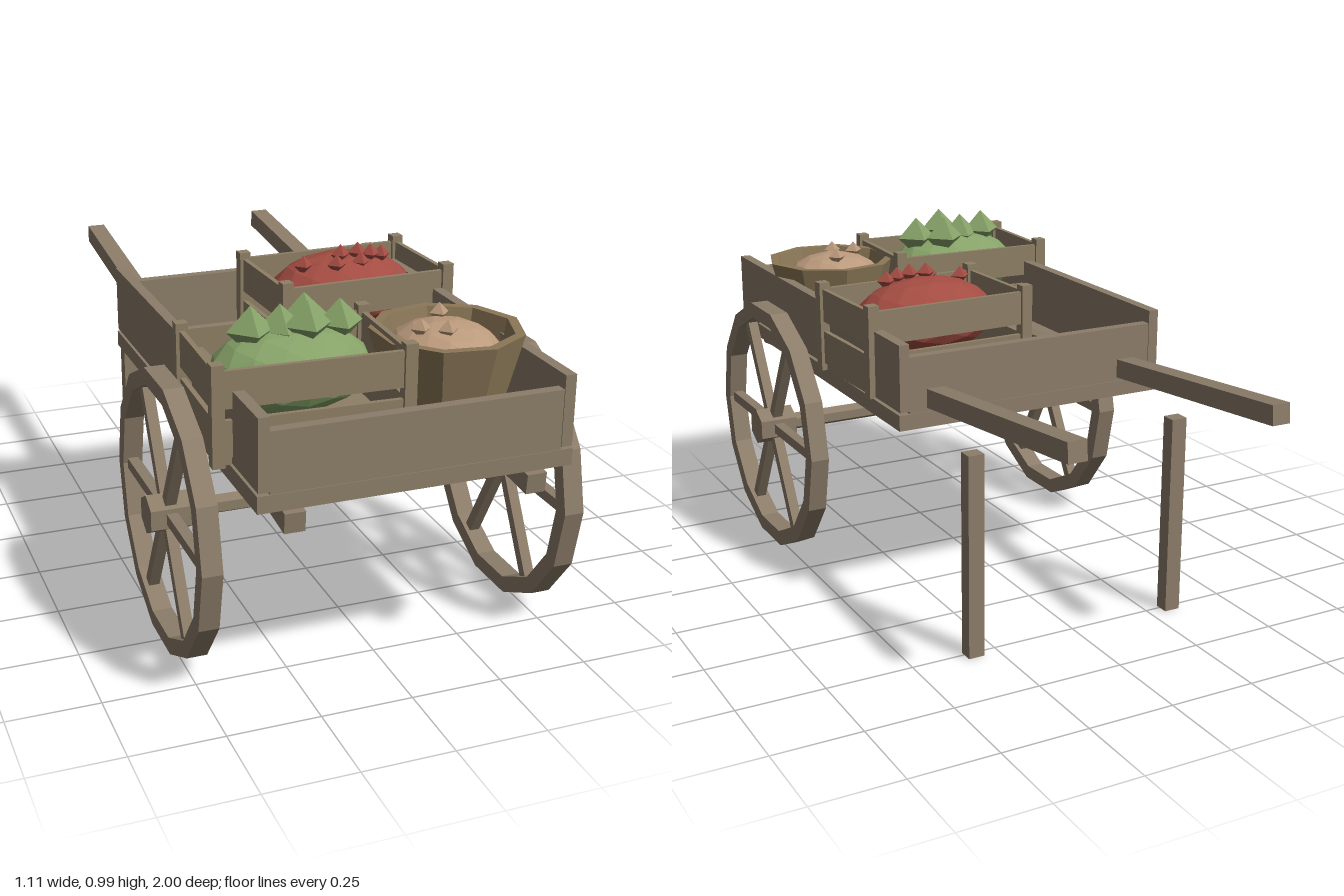
import * as THREE from 'three';

const mat = (color) => new THREE.MeshStandardMaterial({ color, flatShading: true });
const wood = mat(0x8c7d69);
const crateWood = mat(0x8e7f66);
const basketWood = mat(0x8c7858);
const green = mat(0x86a268);
const red = mat(0xa34c42);
const tan = mat(0xbb9a7c);

function add(parent, name, geometry, material, x = 0, y = 0, z = 0) {
  const mesh = new THREE.Mesh(geometry, material);
  mesh.name = name;
  mesh.position.set(x, y, z);
  parent.add(mesh);
  return mesh;
}

const box = (parent, name, w, h, d, x, y, z, material = wood) =>
  add(parent, name, new THREE.BoxGeometry(w, h, d), material, x, y, z);

// Square beam running from point a to point b
function beam(parent, name, size, a, b) {
  const from = new THREE.Vector3(...a), to = new THREE.Vector3(...b);
  const mesh = box(parent, name, size, size, from.distanceTo(to), 0, 0, 0);
  mesh.position.copy(from).add(to).multiplyScalar(0.5);
  mesh.lookAt(to);
  return mesh;
}

// Regular polygon outline with a flat edge at top and bottom
function ring(PathType, radius, sides) {
  const points = [];
  for (let i = 0; i < sides; i++) {
    const a = (i / sides) * Math.PI * 2;
    points.push(new THREE.Vector2(Math.cos(a) * radius, Math.sin(a) * radius));
  }
  return new PathType(points);
}

// Fourteen-sided wheel with six spokes and a hexagonal hub, axis along x
function makeWheel(side) {
  const wheel = new THREE.Group();
  wheel.name = side > 0 ? 'leftWheel' : 'rightWheel';
  const shape = ring(THREE.Shape, 0.388, 14);
  shape.holes.push(ring(THREE.Path, 0.342, 14));
  const rim = new THREE.ExtrudeGeometry(shape, { depth: 0.055, bevelEnabled: false });
  rim.translate(0, 0, -0.0275).rotateY(Math.PI / 2);
  add(wheel, 'rim', rim, wood);
  for (let i = 0; i < 6; i++) {
    const a = (i / 6) * Math.PI * 2;
    const spoke = box(wheel, 'spoke', 0.03, 0.03, 0.31,
      0, -Math.sin(a) * 0.192, Math.cos(a) * 0.192);
    spoke.rotation.x = a;
  }
  const hub = new THREE.CylinderGeometry(0.055, 0.055, 0.115, 6).rotateZ(Math.PI / 2);
  hub.rotateX(Math.PI / 2);
  add(wheel, 'hub', hub, wood);
  wheel.position.set(side * 0.498, 0.39, 0.515);
  return wheel;
}

// Open crate with corner posts and two slats per side
function makeCrate(name, x, z, turn) {
  const crate = new THREE.Group();
  crate.name = name;
  const hx = 0.248, hz = 0.163;
  box(crate, 'crateFloor', hx * 2, 0.02, hz * 2, 0, 0.645, 0, crateWood);
  for (const sx of [-1, 1]) for (const sz of [-1, 1]) {
    box(crate, 'cratePost', 0.033, 0.265, 0.033, sx * hx, 0.767, sz * hz, crateWood);
  }
  for (const y of [0.705, 0.832]) for (const s of [-1, 1]) {
    box(crate, 'longSlat', hx * 2, 0.097, 0.014, 0, y, s * hz, crateWood);
    box(crate, 'endSlat', 0.014, 0.097, hz * 2, s * hx, y, 0, crateWood);
  }
  crate.position.set(x, 0, z);
  crate.rotation.y = turn;
  return crate;
}

// Rounded heap with single pieces of produce lying on top
function makePile(name, material, centre, radii, pieceSize, pieces) {
  const pile = new THREE.Group();
  pile.name = name;
  const mound = new THREE.IcosahedronGeometry(1, 2).scale(...radii);
  add(pile, 'mound', mound, material, ...centre);
  for (const p of pieces) {
    add(pile, 'piece', new THREE.OctahedronGeometry(pieceSize), material, ...p);
  }
  return pile;
}

export function createModel() {
  const cart = new THREE.Group();
  cart.name = 'produceCart';

  // Bed and its walls
  box(cart, 'bed', 0.835, 0.045, 1.265, 0, 0.608, 0.367);
  for (const s of [-1, 1]) {
    box(cart, 'sideWall', 0.03, 0.19, 1.265, s * 0.4, 0.733, 0.367);
  }
  box(cart, 'frontWall', 0.77, 0.162, 0.03, 0, 0.709, 0.982);
  box(cart, 'backWall', 0.77, 0.162, 0.03, 0, 0.709, -0.248);

  // Handles, legs, axle and wheels
  for (const s of [-1, 1]) {
    beam(cart, 'handle', 0.054, [s * 0.322, 0.548, 0.997], [s * 0.297, 0.738, -0.997]);
    box(cart, 'leg', 0.047, 0.585, 0.043, s * 0.32, 0.2925, -0.508);
    cart.add(makeWheel(s));
  }
  const axle = new THREE.CylinderGeometry(0.027, 0.027, 0.95, 6).rotateZ(Math.PI / 2);
  axle.rotateX(Math.PI / 2);
  add(cart, 'axle', axle, wood, 0, 0.39, 0.515);

  // Crates
  cart.add(makeCrate('frontCrate', -0.199, 0.656, -0.035));
  cart.add(makeCrate('backCrate', 0.174, 0.086, 0.035));

  // Nine-sided tapered basket
  const profile = [[0, 0.635], [0.145, 0.635], [0.205, 0.868], [0.178, 0.868], [0.128, 0.655], [0, 0.655]]
    .map(([r, y]) => new THREE.Vector2(r, y));
  const basket = add(cart, 'basket', new THREE.LatheGeometry(profile, 9), basketWood, 0.222, 0, 0.67);
  basket.rotation.y = 0.2;

  // Produce
  cart.add(makePile('greenProduce', green, [-0.205, 0.805, 0.652], [0.215, 0.113, 0.152], 0.064, [
    [-0.31, 0.915, 0.65], [-0.145, 0.915, 0.59], [-0.23, 0.91, 0.645],
    [-0.172, 0.925, 0.685], [-0.072, 0.91, 0.65],
  ]));
  cart.add(makePile('redProduce', red, [0.168, 0.805, 0.086], [0.215, 0.113, 0.15], 0.029, [
    [0.034, 0.9, 0.125], [0.12, 0.905, 0.165], [0.147, 0.922, 0.125],
    [0.2, 0.924, 0.125], [0.2, 0.902, 0.15], [0.238, 0.917, 0.13], [0.274, 0.91, 0.125],
  ]));
  cart.add(makePile('tanProduce', tan, [0.215, 0.79, 0.665], [0.16, 0.095, 0.16], 0.028, [
    [0.137, 0.88, 0.69], [0.197, 0.88, 0.725], [0.232, 0.885, 0.6],
  ]));

  return cart;
}
